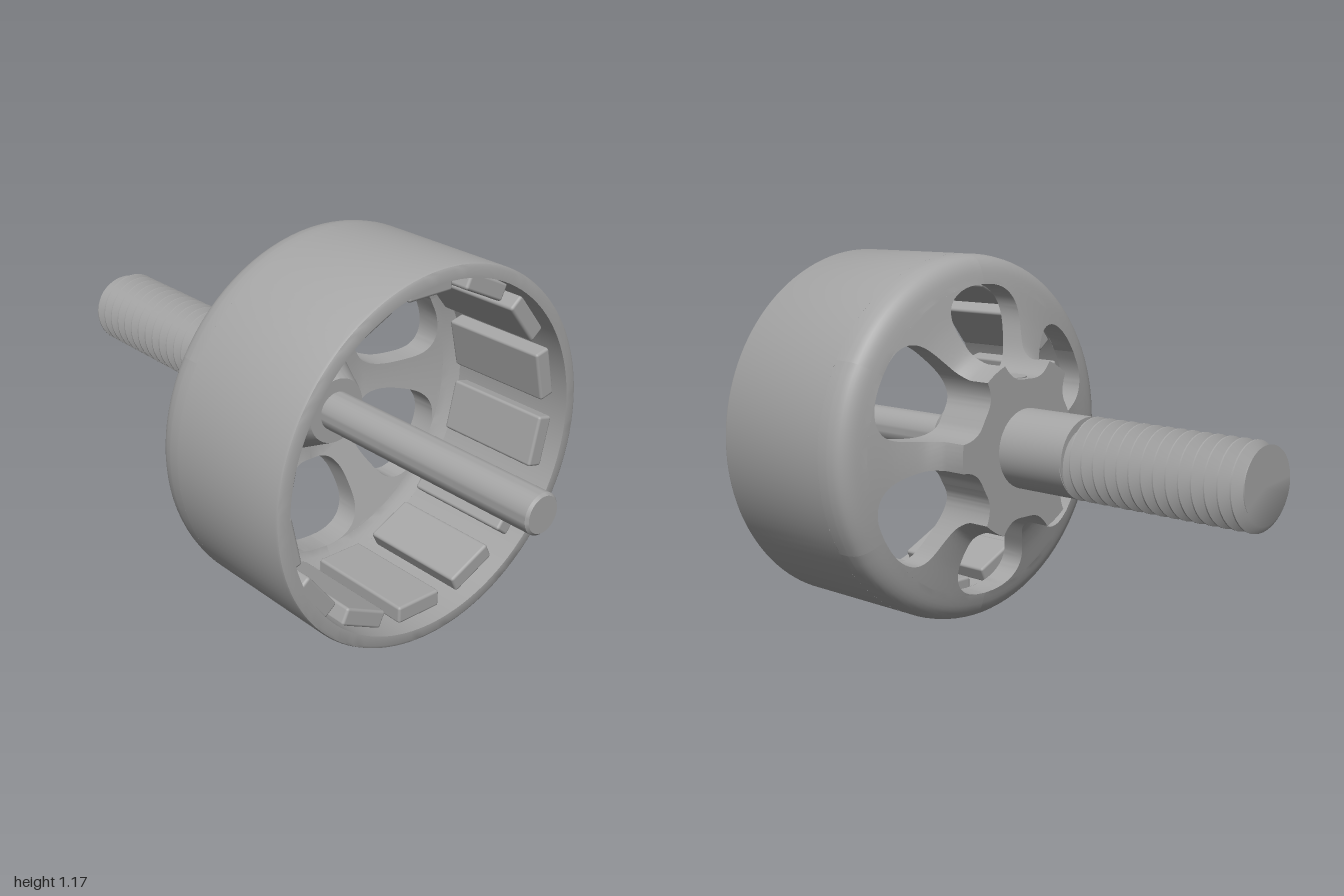
import * as THREE from 'three';
import { toCreasedNormals } from 'three/addons/utils/BufferGeometryUtils.js';
import { RoundedBoxGeometry } from 'three/addons/geometries/RoundedBoxGeometry.js';

const TAU = Math.PI * 2;
const { lerp, mapLinear, clamp } = THREE.MathUtils;

// Surface through rows of points, each row having the same length
function loft(rows) {
  const n = rows[0].length, index = [];
  for (let i = 0; i < rows.length - 1; i++) {
    for (let j = 0; j < n - 1; j++) {
      const a = i * n + j, b = a + 1, c = a + n, d = c + 1;
      index.push(a, b, c, b, d, c);
    }
  }
  const geo = new THREE.BufferGeometry();
  geo.setAttribute('position', new THREE.Float32BufferAttribute(rows.flat(2), 3));
  geo.setIndex(index);
  return toCreasedNormals(geo, 0.6);
}

// Turned part along z from [radius, z] pairs
function turned(points, segments = 96) {
  const geo = new THREE.LatheGeometry(points.map(p => new THREE.Vector2(...p)), segments);
  return toCreasedNormals(geo.rotateX(Math.PI / 2), 0.6);
}

const polar = (r, phi, z) => [r * Math.cos(phi), r * Math.sin(phi), z];

// Spoked end cap: rear profile, inner face and window edges as functions of radius
const HUB = 0.28, HOLE_IN = 0.215, HOLE_OUT = 0.495;
const rear = new THREE.SplineCurve([
  [HUB, -0.075], [0.291, -0.048], [0.32, -0.018], [0.4, 0.012], [0.515, 0.04],
  [0.555, 0.056], [0.577, 0.08], [0.585, 0.115],
].map(p => new THREE.Vector2(...p))).getPoints(80);

function rearZ(r) {
  if (r < HUB) return -0.145;
  const i = rear.findIndex(p => p.x >= r);
  if (i <= 0) return i < 0 ? 0.115 : rear[0].y;
  return mapLinear(r, rear[i - 1].x, rear[i].x, rear[i - 1].y, rear[i].y);
}

function innerZ(r) {
  if (r < 0.5) return mapLinear(Math.max(r, 0.2), 0.2, 0.5, 0.03, 0.12);
  return Math.min(0.15, mapLinear(r, 0.5, 0.543, 0.12, 0.15));
}

function windowEdges(r) {
  const u = clamp((r - HOLE_IN) / (HOLE_OUT - HOLE_IN), 0, 1);
  const f = Math.cbrt(Math.max(0, 1 - Math.abs(2 * u - 1) ** 3));
  return { right: lerp(0.37, 0.41, u) * f, left: lerp(0.42, 0.32, u) * f };
}

function spokeGeometry() {
  const stations = [[0.05, -0.145], [0.15, -0.145], [HUB, -0.145], [HUB, -0.075]];
  for (let i = 0; i <= 48; i++) {
    const r = lerp(HOLE_IN, HOLE_OUT, (1 - Math.cos(Math.PI * i / 48)) / 2);
    stations.push([r, rearZ(r)]);
  }
  for (const r of [0.515, 0.53, 0.543, 0.555, 0.565, 0.572, 0.577, 0.581, 0.584]) {
    stations.push([r, rearZ(r)]);
  }
  stations.push([0.585, 0.115], [0.585, 0.15]);
  stations.sort((a, b) => a[0] - b[0] || a[1] - b[1]);

  const n = 16;
  return loft(stations.map(([r, z]) => {
    const edge = windowEdges(r), row = [];
    const from = Math.PI / 2 + edge.left, to = Math.PI / 2 + TAU / 6 - edge.right;
    for (let j = 0; j <= n; j++) row.push(polar(r, lerp(from, to, j / n), z));
    for (let j = n; j >= 0; j--) row.push(polar(r, lerp(from, to, j / n), innerZ(r)));
    row.push(row[0]);
    return row;
  }));
}

// Helical thread, rows following the helix and trimmed flat at both ends
function threadGeometry(z0, z1, pitch, root, crest) {
  const radius = f => {
    if (f < 0.1) return root;
    if (f < 0.5) return mapLinear(f, 0.1, 0.5, root, crest);
    return f < 0.6 ? crest : mapLinear(f, 0.6, 1, crest, root);
  };
  const n = 48, turns = Math.ceil((z1 - z0) / pitch) + 1;
  const rows = [Array.from({ length: n + 1 }, () => [0, 0, z0])];
  for (let t = 0; t < turns; t++) {
    for (const f of [0, 0.1, 0.5, 0.6]) {
      const row = [];
      for (let j = 0; j <= n; j++) {
        const z = clamp(z0 + (t + f + j / n - 1) * pitch, z0, z1);
        const phase = (z - z0) / pitch - j / n + 1 + 1e-7;
        row.push(polar(radius(phase - Math.floor(phase)), TAU * j / n, z));
      }
      rows.push(row);
    }
  }
  return loft(rows);
}

export function createModel() {
  const model = new THREE.Group();
  model.name = 'motorRotor';
  const metal = new THREE.MeshStandardMaterial({ color: 0xa5a5a5 });
  metal.name = 'grey metal';

  const rotor = new THREE.Group();
  rotor.name = 'rotor';
  rotor.position.y = 0.585;
  model.add(rotor);

  function add(name, geo, parent = rotor) {
    const mesh = new THREE.Mesh(geo, metal);
    mesh.name = name;
    parent.add(mesh);
    return mesh;
  }

  // Outer can, open to the front
  add('can', turned([
    [0.585, 0.15], [0.585, 0.593], [0.582, 0.6], [0.573, 0.605], [0.543, 0.605], [0.543, 0.14],
  ], 128));

  // Six identical spokes make up the end cap and the scalloped hub
  const cap = new THREE.Group();
  cap.name = 'endCap';
  rotor.add(cap);
  const spoke = spokeGeometry();
  for (let k = 0; k < 6; k++) add('spoke', spoke, cap).rotation.z = k * TAU / 6;

  // Ring of fourteen magnets
  const magnets = new THREE.Group();
  magnets.name = 'magnets';
  rotor.add(magnets);
  const magnet = new RoundedBoxGeometry(0.165, 0.056, 0.37, 2, 0.009);
  magnet.translate(0, 0.513, 0.365);
  for (let k = 0; k < 14; k++) add('magnet', magnet, magnets).rotation.z = k * TAU / 14;

  // Tapered boss and front shaft
  add('boss', turned([[0.17, 0.02], [0.17, 0.03], [0.105, 0.16], [0, 0.16]]));
  add('frontShaft', turned([[0.0625, 0.1], [0.0625, 0.992], [0.055, 1], [0, 1]], 48));

  // Rear bolt: plain shank, then thread
  add('boltShank', turned([[0.09, -0.39], [0.125, -0.39], [0.125, -0.1]], 64));
  add('boltThread', threadGeometry(-1, -0.385, 0.0425, 0.096, 0.127));

  // Grub screws sunk in the hub scallops
  for (const side of [1, -1]) {
    const screw = add('grubScrew', new THREE.CylinderGeometry(0.055, 0.055, 0.1, 32));
    screw.position.set(0, side * 0.168, -0.07);
  }
  return model;
}
